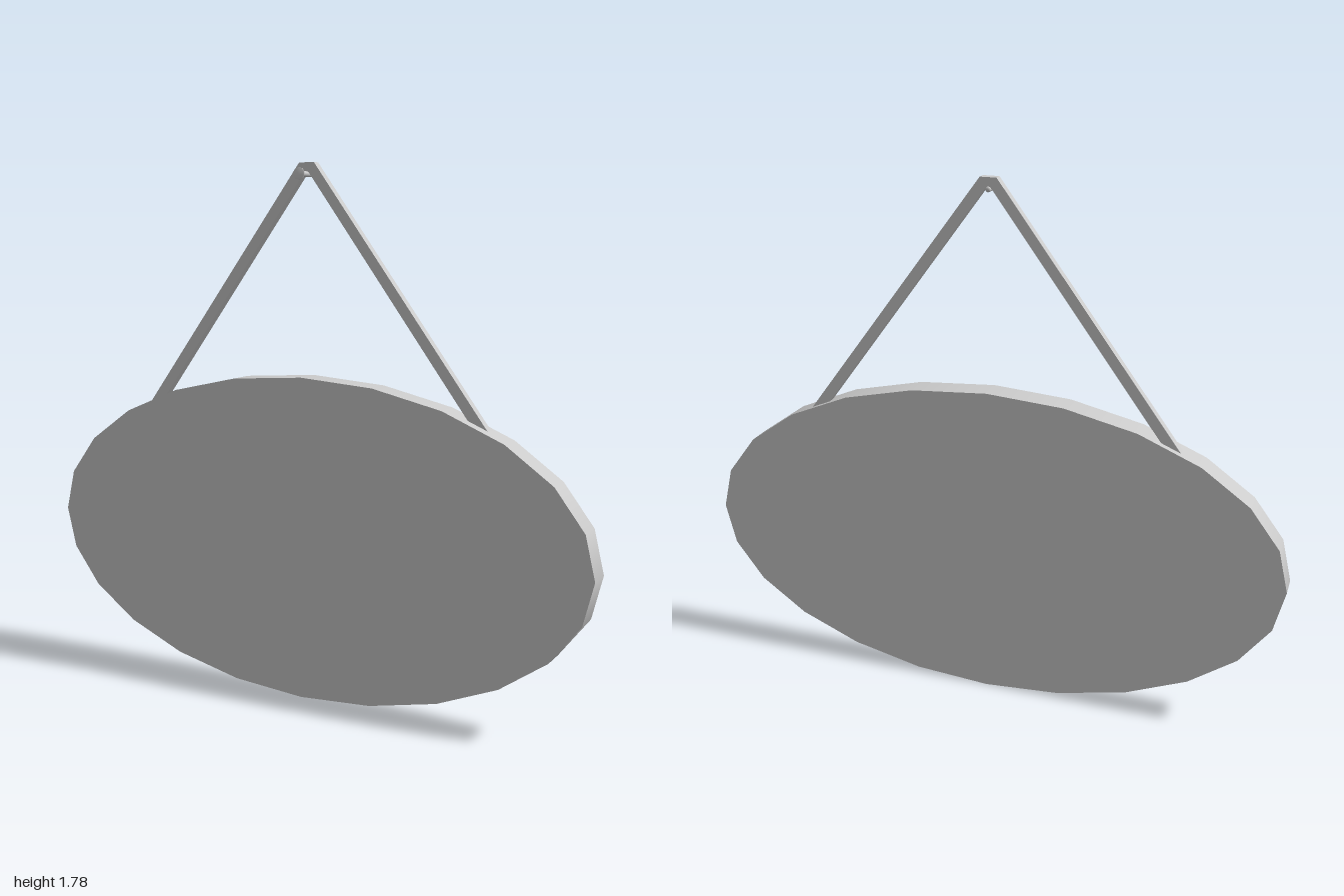
import * as THREE from 'three';

export function createModel() {
  const group = new THREE.Group();
  group.name = 'hangingMirror';
  const material = new THREE.MeshStandardMaterial({ color: 0xcccccc });
  const add = (name, geometry) => {
    const mesh = new THREE.Mesh(geometry, material);
    mesh.name = name;
    group.add(mesh);
  };

  // Oval mirror plate: a 24-sided disc squashed vertically
  const plate = new THREE.CylinderGeometry(1, 1, 0.088, 24);
  plate.rotateX(Math.PI / 2).scale(1, 0.547, 1).translate(0, 0.547, -0.006);
  add('mirrorPlate', plate);

  // Hanging strap: mirrored band outline, its ends sunk into the rim
  const half = [[0.027, 1.782], [0.65, 0.945], [0.62, 0.925], [0.007, 1.752]];
  const mirrored = half.map(([x, y]) => [-x, y]).reverse();
  const outline = [...half, ...mirrored].map(([x, y]) => new THREE.Vector2(x, y));
  const strap = new THREE.ExtrudeGeometry(new THREE.Shape(outline), {
    depth: 0.028, bevelEnabled: false,
  });
  strap.translate(0, 0, -0.028);
  add('strap', strap);

  // Wall nail: tapered shaft with a flat head, pointing forward
  const profile = [
    [0, -0.028], [0.009, -0.028], [0.009, 0.03], [0.012, 0.04],
    [0.02, 0.046], [0.02, 0.051], [0, 0.051],
  ].map(([r, z]) => new THREE.Vector2(r, z));
  const nail = new THREE.LatheGeometry(profile, 10);
  nail.rotateX(Math.PI / 2).translate(0, 1.745, 0);
  add('nail', nail);

  return group;
}
